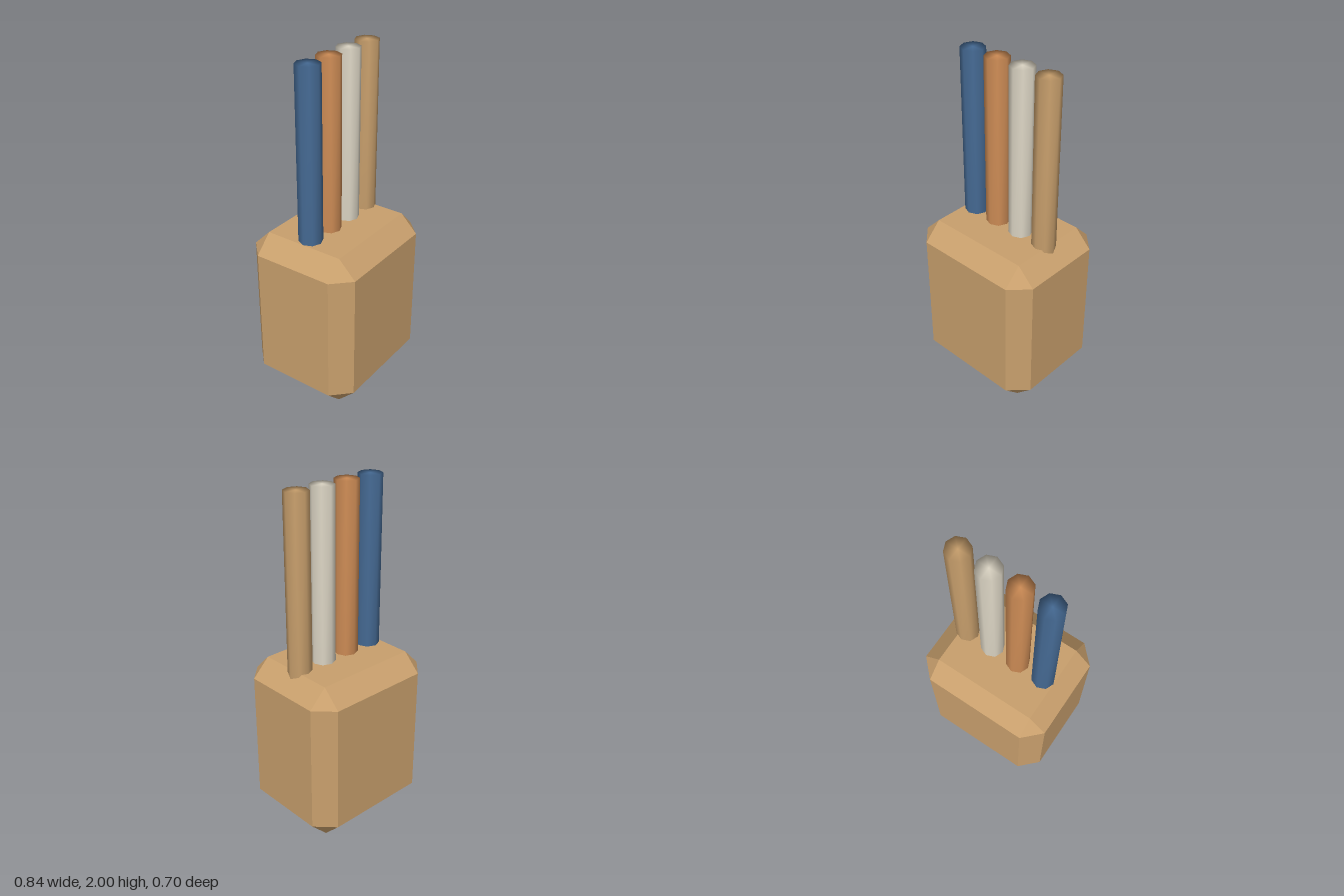
import * as THREE from 'three';
import { mergeVertices } from 'three/addons/utils/BufferGeometryUtils.js';
import { ConvexGeometry } from 'three/addons/geometries/ConvexGeometry.js';

function material(name, color) {
  const m = new THREE.MeshStandardMaterial({ color });
  m.name = name;
  return m;
}

// Box with every edge bevelled at 45 degrees
function chamferedBox(hx, hy, hz, c) {
  const points = [];
  for (const sx of [-1, 1]) for (const sy of [-1, 1]) for (const sz of [-1, 1]) {
    points.push(
      new THREE.Vector3(sx * hx, sy * (hy - c), sz * (hz - c)),
      new THREE.Vector3(sx * (hx - c), sy * hy, sz * (hz - c)),
      new THREE.Vector3(sx * (hx - c), sy * (hy - c), sz * hz));
  }
  return new ConvexGeometry(points);
}

// Eight-sided rod whose caps and side share smooth normals
function smoothRod(radius, height) {
  const g = new THREE.CylinderGeometry(radius, radius, height, 8);
  g.deleteAttribute('normal');
  g.deleteAttribute('uv');
  const merged = mergeVertices(g, 1e-4);
  merged.computeVertexNormals();
  return merged;
}

export function createModel() {
  const group = new THREE.Group();
  group.name = 'rodHolder';
  const tan = material('tan', 0xc9a06d);
  const blue = material('blue', 0x466b95);
  const orange = material('orange', 0xcf8d56);
  const cream = material('cream', 0xded7c6);

  // Holder block
  const block = new THREE.Mesh(chamferedBox(0.42, 0.4925, 0.35, 0.105), tan);
  block.name = 'holderBlock';
  block.position.y = 0.4925;
  group.add(block);

  // Row of rods standing in the block
  const top = 2, bottom = 0.7;
  const rod = smoothRod(0.07, top - bottom);
  [blue, orange, cream, tan].forEach((mat, i) => {
    const mesh = new THREE.Mesh(rod, mat);
    mesh.name = `${mat.name}Rod`;
    mesh.position.set(-0.245 + i * 0.175, (top + bottom) / 2, 0);
    group.add(mesh);
  });

  return group;
}
